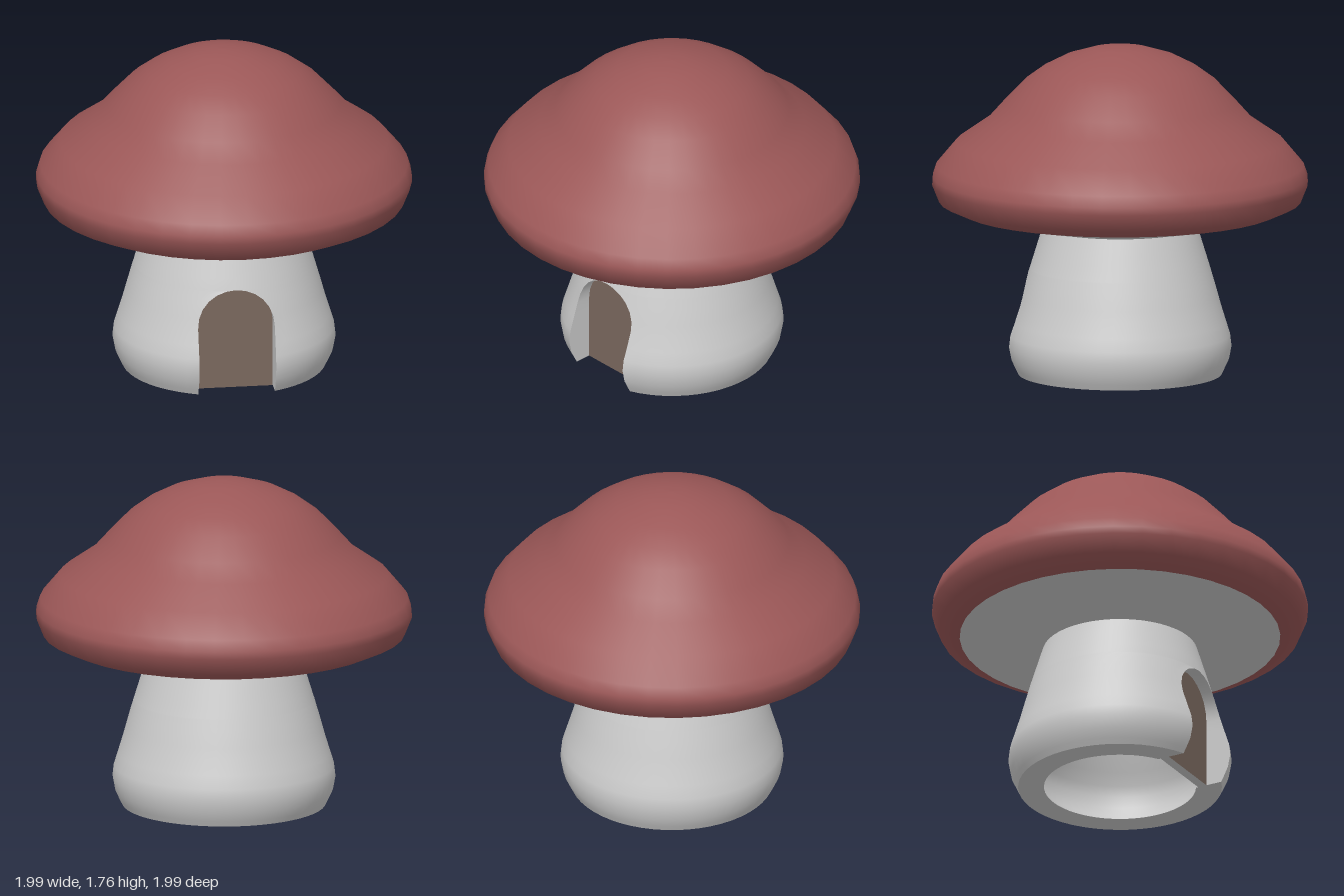
import * as THREE from 'three';
import { mergeVertices } from 'three/addons/utils/BufferGeometryUtils.js';

const DOOR_HALF = 0.205, ARCH_Y = 0.365, TOP_Y = 0.79, WALL = 0.137;

// stem outline as [radius, height], read by linear interpolation
const STEM = [[0.54, 0], [0.555, 0.03], [0.578, 0.08], [0.591, 0.15], [0.584, 0.21],
  [0.54, 0.35], [0.51, 0.46], [0.478, 0.57], [0.41, TOP_Y]];

function stemRadius(y) {
  let i = 1;
  while (i < STEM.length - 1 && STEM[i][1] < y) i++;
  const [r0, y0] = STEM[i - 1], [r1, y1] = STEM[i];
  return r0 + (r1 - r0) * (y - y0) / (y1 - y0);
}

// half width of the arched doorway at height y
function doorHalf(y) {
  if (y <= ARCH_Y) return DOOR_HALF;
  const d = DOOR_HALF ** 2 - (y - ARCH_Y) ** 2;
  return d > 1e-8 ? Math.sqrt(d) : 0;
}

// point on the wall: u runs round the stem from one door jamb to the other
function wallPoint(u, y, inset) {
  const r = stemRadius(y) - inset;
  const a0 = Math.asin(doorHalf(y) / r);
  const a = a0 + u * (2 * Math.PI - 2 * a0);
  return [r * Math.sin(a), y, r * Math.cos(a)];
}

// smooth surface over a grid of points f(i, j)
function grid(nu, nv, f, flip = false) {
  const pos = [], index = [];
  for (let j = 0; j <= nv; j++) for (let i = 0; i <= nu; i++) pos.push(...f(i, j));
  for (let j = 0; j < nv; j++) for (let i = 0; i < nu; i++) {
    const a = j * (nu + 1) + i, b = a + 1, d = a + nu + 1, c = d + 1;
    if (flip) index.push(a, c, b, a, d, c);
    else index.push(a, b, c, a, c, d);
  }
  let g = new THREE.BufferGeometry();
  g.setAttribute('position', new THREE.Float32BufferAttribute(pos, 3));
  g.setIndex(index);
  g = mergeVertices(g, 1e-4);
  g.computeVertexNormals();
  return g;
}

function lathe(points) {
  return new THREE.LatheGeometry(points.map(([x, y]) => new THREE.Vector2(x, y)), 40);
}

export function createModel() {
  const model = new THREE.Group();
  const grey = new THREE.MeshStandardMaterial({ color: 0xcccccc });
  const greyDouble = new THREE.MeshStandardMaterial({ color: 0xcccccc, side: THREE.DoubleSide });
  const red = new THREE.MeshStandardMaterial({ color: 0x9b5757 });
  const brown = new THREE.MeshStandardMaterial({ color: 0x7a685e });
  const add = (name, geometry, material, parent = model) => {
    const mesh = new THREE.Mesh(geometry, material);
    mesh.name = name;
    parent.add(mesh);
    return mesh;
  };

  // cap and its underside
  add('cap', lathe([[0.85, 0.878], [0.96, 0.928], [0.997, 1.02], [0.995, 1.06], [0.975, 1.12],
    [0.87, 1.245], [0.705, 1.36], [0.62, 1.455], [0.51, 1.57], [0.41, 1.643], [0.295, 1.702],
    [0.155, 1.745], [0.07, 1.757], [0, 1.76]]), red);
  add('capUnderside', lathe([[0.4, 0.788], [0.62, 0.832], [0.85, 0.878]]), grey);

  // hollow stem with an arched opening
  const stem = new THREE.Group();
  stem.name = 'stem';
  model.add(stem);
  const rows = [0, 0.03, 0.08, 0.15, 0.21, 0.28];
  for (let k = 0; k <= 6; k++) rows.push(ARCH_Y + DOOR_HALF * Math.sin(k * Math.PI / 12));
  const archRow = rows.length - 1;
  rows.push(0.63, 0.7, TOP_Y);
  const N = 48, M = rows.length - 1;
  add('stemOuterWall', grid(N, M, (i, j) => wallPoint(i / N, rows[j], 0)), grey, stem);
  add('stemInnerWall', grid(N, M, (i, j) => wallPoint(i / N, rows[j], WALL), true), grey, stem);
  add('stemBase', grid(N, 1, (i, j) => wallPoint(i / N, 0, j ? 0 : WALL)), grey, stem);
  const ceiling = add('stemCeiling', new THREE.CircleGeometry(0.3, 40), grey, stem);
  ceiling.rotation.x = Math.PI / 2;
  ceiling.position.y = TOP_Y - 0.005;

  // reveal of the doorway: up one jamb, over the arch, down the other
  add('doorReveal', grid(2 * archRow, 1, (i, j) => {
    const row = i <= archRow ? i : 2 * archRow - i;
    return wallPoint(i <= archRow ? 0 : 1, rows[row], j ? WALL : 0);
  }), greyDouble, stem);

  // recessed door slab
  const arch = new THREE.Shape();
  arch.moveTo(-DOOR_HALF, 0);
  arch.lineTo(DOOR_HALF, 0);
  arch.lineTo(DOOR_HALF, ARCH_Y);
  arch.absarc(0, ARCH_Y, DOOR_HALF, 0, Math.PI, false);
  arch.closePath();
  const slab = new THREE.ExtrudeGeometry(arch, { depth: 0.05, bevelEnabled: false, curveSegments: 12 });
  add('door', slab, [brown, grey]).position.z = 0.36;

  return model;
}
